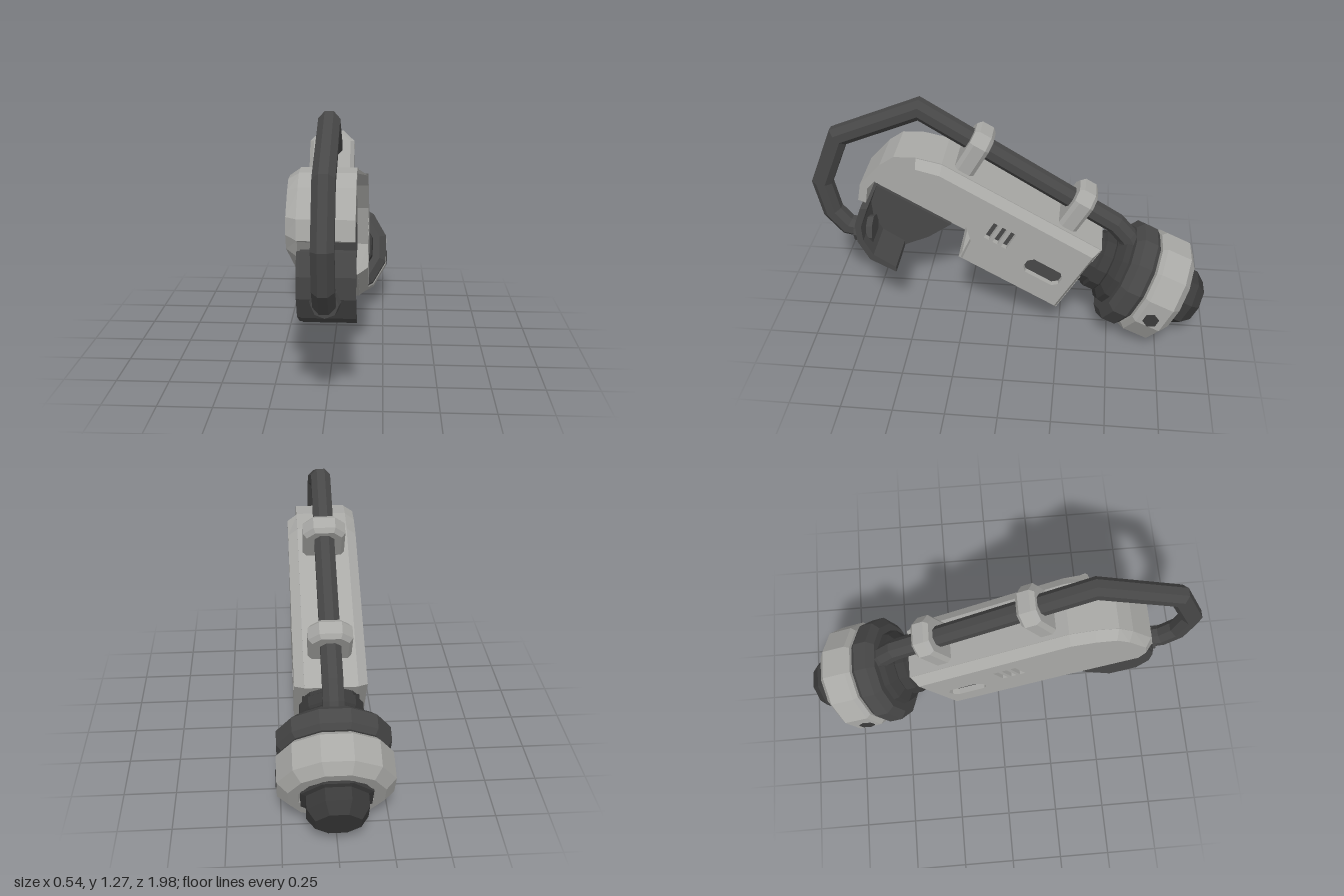
import * as THREE from 'three';

const mat = (name, color) => {
  const m = new THREE.MeshStandardMaterial({ color });
  m.name = name;
  return m;
};

// Faceted copy of a geometry
function flat(geo) {
  const g = geo.index ? geo.toNonIndexed() : geo;
  g.computeVertexNormals();
  return g;
}

function add(parent, name, geo, material) {
  const mesh = new THREE.Mesh(flat(geo), material);
  mesh.name = name;
  parent.add(mesh);
  return mesh;
}

const toShape = (pts) => new THREE.Shape(pts.map(([a, b]) => new THREE.Vector2(a, b)));

// Side profile in (z, y), extruded across x from x0 to x1
function sideExtrude(shape, x0, x1) {
  const g = new THREE.ExtrudeGeometry(shape, { depth: x1 - x0, bevelEnabled: false });
  g.rotateY(-Math.PI / 2);
  g.translate(x1, 0, 0);
  return g;
}

// Pipe along a path of (z, y) points, with mitred corners
function mitredPipe(path, radius, sides) {
  const P = path.map(([z, y]) => new THREE.Vector3(0, y, z));
  const X = new THREE.Vector3(1, 0, 0);
  const pos = [], index = [];
  P.forEach((p, i) => {
    const before = p.clone().sub(P[Math.max(i - 1, 0)]).normalize();
    const after = P[Math.min(i + 1, P.length - 1)].clone().sub(p).normalize();
    const T = before.clone().add(after).normalize();
    const stretch = 1 / T.dot(i ? before : after);
    const N = X.clone().cross(T);
    for (let j = 0; j < sides; j++) {
      const a = ((j + 0.5) / sides) * Math.PI * 2;
      const v = p.clone().addScaledVector(N, Math.cos(a) * radius * stretch)
        .addScaledVector(X, Math.sin(a) * radius);
      pos.push(v.x, v.y, v.z);
      if (i < P.length - 1) {
        const k = (j + 1) % sides, r = i * sides, s = r + sides;
        index.push(r + j, r + k, s + k, r + j, s + k, s + j);
      }
    }
  });
  const g = new THREE.BufferGeometry();
  g.setAttribute('position', new THREE.Float32BufferAttribute(pos, 3));
  g.setIndex(index);
  return g;
}

// Twelve-sided turned part from (radius, height) pairs
function turned(profile, sides = 12) {
  const g = new THREE.LatheGeometry(profile.map(([r, y]) => new THREE.Vector2(r, y)), sides);
  g.rotateY(Math.PI / sides);
  return g;
}

export function createModel() {
  const shell = mat('light grey shell', 0xa9a9a6);
  const dark = mat('dark grey', 0x474747);
  const black = mat('charcoal', 0x3a3a3a);
  const model = new THREE.Group();
  model.name = 'mechanicalForearm';

  // Hollow forearm housing, drawn level and tilted up towards the front
  const housing = new THREE.Group();
  housing.name = 'housing';
  housing.rotation.x = -Math.PI / 6;
  model.add(housing);

  const fullOutline = [[-0.11, 0.28], [0.54, 0.27], [0.97, 0.25], [1.03, 0.305], [1.06, 0.39],
    [1.027, 0.54], [0.99, 0.617], [0.9, 0.672], [0.78, 0.71], [-0.11, 0.71]];
  const cutOutline = [[-0.11, 0.28], [0.45, 0.28], [0.465, 0.43], [0.6, 0.57], [0.735, 0.64],
    [0.87, 0.655], [0.9, 0.672], [0.78, 0.71], [-0.11, 0.71]];
  const slot = { z: 0.075, y: 0.463 }, vent = { z: 0.36, y: 0.535 };

  function wall(name, outline, x0, x1) {
    const shape = toShape(outline);
    const { z, y } = slot;
    shape.holes.push(new THREE.Path([[-0.1, -0.02], [-0.075, -0.045], [0.075, -0.045], [0.1, -0.02],
      [0.1, 0.02], [0.075, 0.045], [-0.075, 0.045], [-0.1, 0.02]]
      .map(([a, b]) => new THREE.Vector2(z + a, y + b))));
    for (const k of [-1, 0, 1]) {
      shape.holes.push(new THREE.Path([[-0.014, -0.05], [0.014, -0.05], [0.014, 0.05], [-0.014, 0.05]]
        .map(([a, b]) => new THREE.Vector2(vent.z + k * 0.048 + a, vent.y + b))));
    }
    const g = sideExtrude(shape, x0, x1);
    // Chamfer: pull the outer rim inwards
    const p = g.attributes.position;
    for (let i = 0; i < p.count; i++) {
      const dy = p.getY(i) - 0.495, pz = p.getZ(i);
      if (Math.abs(p.getX(i)) > 0.16 && (Math.abs(dy) > 0.17 || pz > 0.9 || pz < -0.05)) {
        p.setY(i, 0.495 + dy * 0.83);
        p.setZ(i, 0.47 + (pz - 0.47) * 0.95);
      }
    }
    add(housing, name, g, shell);
  }
  wall('leftWall', cutOutline, 0.12, 0.172);
  wall('rightWall', fullOutline, -0.172, -0.12);

  // Roof, nose, back and floor as one folded band
  add(housing, 'housingBand', sideExtrude(toShape([[-0.11, 0.28], [0.46, 0.28], [0.46, 0.32],
    [-0.07, 0.32], [-0.07, 0.67], [0.77, 0.67], [0.88, 0.635], [0.95, 0.585], [0.99, 0.52],
    [1.02, 0.39], [0.99, 0.31], [1.03, 0.305], [1.06, 0.39], [1.027, 0.54], [0.99, 0.617],
    [0.9, 0.672], [0.78, 0.71], [-0.11, 0.71]]), -0.125, 0.125), shell);

  // Dark backing behind the slots and vents
  for (const s of [1, -1]) {
    add(housing, 'slotBacking', new THREE.BoxGeometry(0.008, 0.11, 0.22), dark)
      .position.set(s * 0.138, slot.y, slot.z);
    add(housing, 'ventBacking', new THREE.BoxGeometry(0.008, 0.12, 0.15), dark)
      .position.set(s * 0.138, vent.y, vent.z);
  }

  // Pipe clips on the roof
  for (const z of [0.667, 0.09]) {
    const clip = new THREE.ExtrudeGeometry(toShape([[-0.085, 0.69], [0.085, 0.69], [0.085, 0.86],
      [0.045, 0.9], [-0.045, 0.9], [-0.085, 0.86]]),
      { depth: 0.06, bevelThickness: 0.02, bevelSize: 0.018, bevelSegments: 1 });
    clip.translate(0, 0, z - 0.03);
    add(housing, 'pipeClip', clip, shell);
  }

  // Bent pipe from the joint over the roof to the front guard
  add(model, 'pipe', mitredPipe([[-0.62, 0.48], [-0.57, 0.57], [-0.51, 0.64], [0.44, 1.225],
    [0.84, 1.06], [0.945, 0.8], [0.91, 0.63], [0.84, 0.545], [0.72, 0.52]], 0.052, 8), dark);
  const socket = new THREE.CylinderGeometry(0.06, 0.08, 0.1, 8);
  socket.rotateX(Math.PI / 2);
  add(model, 'pipeSocket', socket, dark).position.set(0, 0.52, 0.755);

  // Front guard: curved front strip and one side plate
  add(model, 'guardFront', sideExtrude(toShape([[0.7, 0.73], [0.74, 0.62], [0.735, 0.54], [0.69, 0.455],
    [0.58, 0.385], [0.58, 0.355], [0.71, 0.425], [0.765, 0.53], [0.77, 0.63], [0.735, 0.73]]),
    -0.11, 0.13), dark);
  add(model, 'guardSide', sideExtrude(toShape([[0.72, 0.73], [0.33, 0.505], [0.45, 0.42], [0.58, 0.36],
    [0.71, 0.43], [0.76, 0.53], [0.765, 0.63]]), -0.125, -0.1), dark);

  // Rear joint, turned around its own axis pointing back and down
  const joint = new THREE.Group();
  joint.name = 'rearJoint';
  joint.position.set(0, 0.342, -0.588);
  joint.rotation.x = THREE.MathUtils.degToRad(-115);
  model.add(joint);

  add(joint, 'neck', turned([[0, -0.34], [0.14, -0.34], [0.14, -0.2], [0.155, -0.19], [0.155, -0.14],
    [0.145, -0.13], [0.19, -0.1], [0.2, -0.05]]), black);
  add(joint, 'collar', turned([[0.18, -0.07], [0.235, -0.07], [0.272, -0.04], [0.272, 0.03],
    [0.25, 0.055], [0.2, 0.055], [0.2, 0.09]]), dark);
  add(joint, 'jointRing', turned([[0.19, 0.065], [0.255, 0.065], [0.275, 0.085], [0.275, 0.215],
    [0.225, 0.26], [0.175, 0.26], [0.165, 0.23]]), shell);
  add(joint, 'endCap', turned([[0.175, 0.22], [0.175, 0.27], [0.15, 0.275], [0.15, 0.335],
    [0.11, 0.388], [0, 0.388]], 8), black);

  // Hexagonal bolts on both sides of the ring
  for (const s of [1, -1]) {
    const bolt = new THREE.CylinderGeometry(0.04, 0.04, 0.008, 6);
    bolt.rotateZ(Math.PI / 2);
    add(joint, 'ringBolt', bolt, black).position.set(s * 0.266, 0.147, -0.03);
  }
  return model;
}
